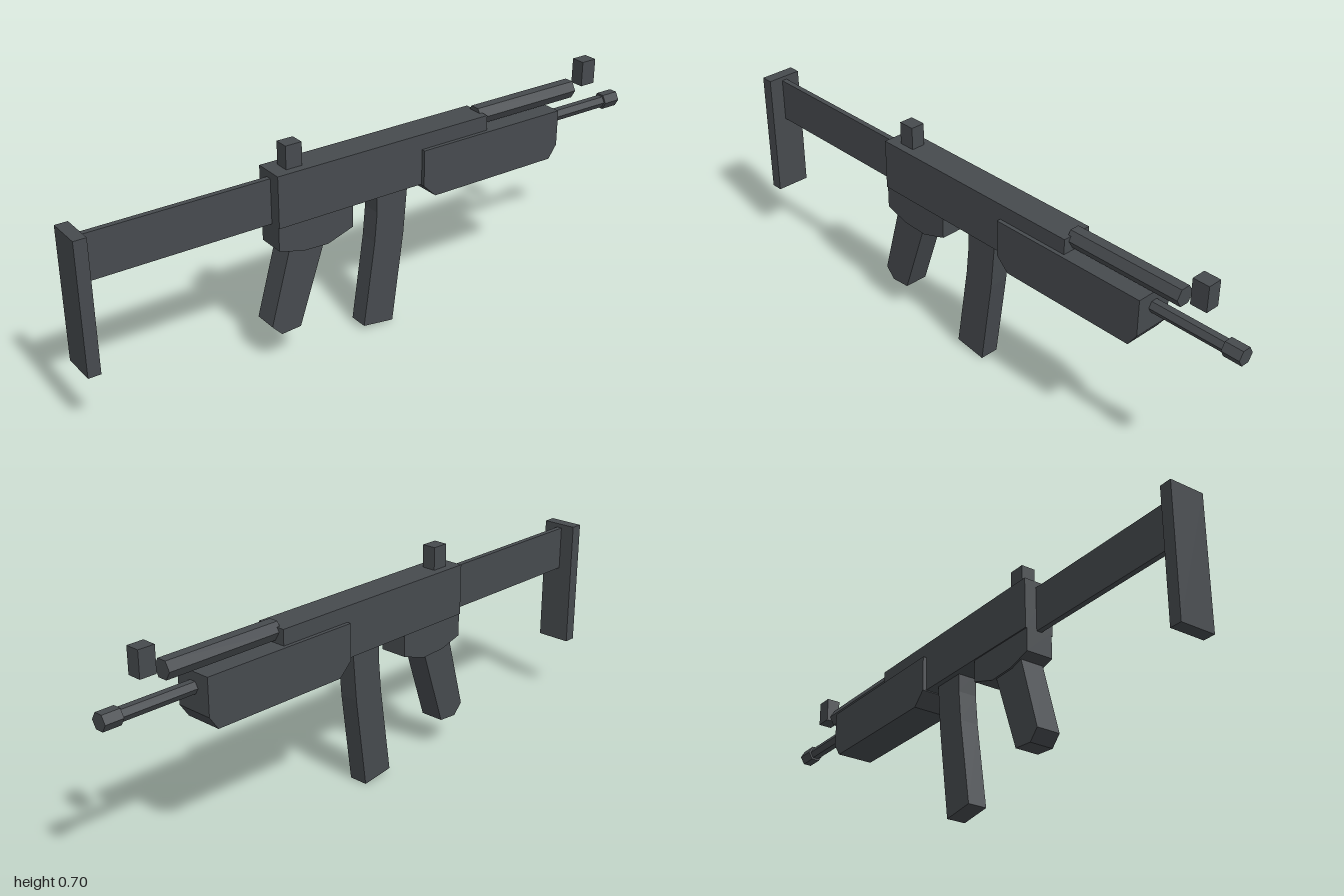
import * as THREE from 'three';

export function createModel() {
  const model = new THREE.Group();
  const gunmetal = new THREE.MeshStandardMaterial({ color: 0x464a4e, flatShading: true });
  gunmetal.name = 'gunmetal';

  function add(name, geometry) {
    const mesh = new THREE.Mesh(geometry, gunmetal);
    mesh.name = name;
    model.add(mesh);
  }

  // Box from its width and its y and z ranges
  function box(name, width, y0, y1, z0, z1) {
    const g = new THREE.BoxGeometry(width, y1 - y0, z1 - z0);
    add(name, g.translate(0, (y0 + y1) / 2, (z0 + z1) / 2));
  }

  // Side profile of [z, y] points, extruded across the width
  function plate(name, width, points) {
    const shape = new THREE.Shape(points.map(([z, y]) => new THREE.Vector2(z, y)));
    const g = new THREE.ExtrudeGeometry(shape, { depth: width, bevelEnabled: false });
    add(name, g.translate(0, 0, -width / 2).rotateY(-Math.PI / 2));
  }

  // Six-sided rod along z with flat top and bottom
  function rod(name, radius, y, z0, z1) {
    const g = new THREE.CylinderGeometry(radius, radius, z1 - z0, 6);
    g.rotateY(Math.PI / 6 + Math.PI / 3 - Math.PI / 2 + Math.PI / 2).rotateX(Math.PI / 2);
    add(name, g.translate(0, y, (z0 + z1) / 2));
  }

  // Stock
  box('buttPlate', 0.116, 0.195, 0.618, 0.96, 1);
  box('stockBar', 0.018, 0.46, 0.605, 0.36, 0.97);

  // Body and trigger housing
  box('receiver', 0.1, 0.46, 0.626, -0.4, 0.37);
  plate('triggerHousing', 0.092, [
    [0.37, 0.47], [0.37, 0.385], [0.29, 0.362], [0.2, 0.358], [0.11, 0.388], [0.11, 0.47],
  ]);

  // Grip and magazine
  plate('grip', 0.08, [
    [0.32, 0.42], [0.33, 0.385], [0.4, 0.135], [0.367, 0.1], [0.3, 0.105], [0.213, 0.36], [0.22, 0.42],
  ]);
  plate('magazine', 0.064, [
    [0.01, 0.48], [0.01, 0.4], [0.019, 0.3], [0.06, 0.015], [-0.05, 0], [-0.09, 0.3], [-0.105, 0.48],
  ]);

  // Handguard with chamfered lower ends
  plate('handguard', 0.126, [
    [-0.145, 0.576], [-0.145, 0.457], [-0.19, 0.414], [-0.66, 0.414], [-0.69, 0.457], [-0.69, 0.576],
  ]);

  // Tubes
  rod('gasTube', 0.032, 0.612, -0.79, -0.39);
  rod('barrel', 0.021, 0.53, -0.96, -0.68);
  rod('muzzle', 0.028, 0.53, -1, -0.94);

  // Sights
  box('rearSight', 0.047, 0.62, 0.7, 0.27, 0.325);
  box('frontSight', 0.047, 0.617, 0.7, -0.88, -0.825);

  return model;
}
